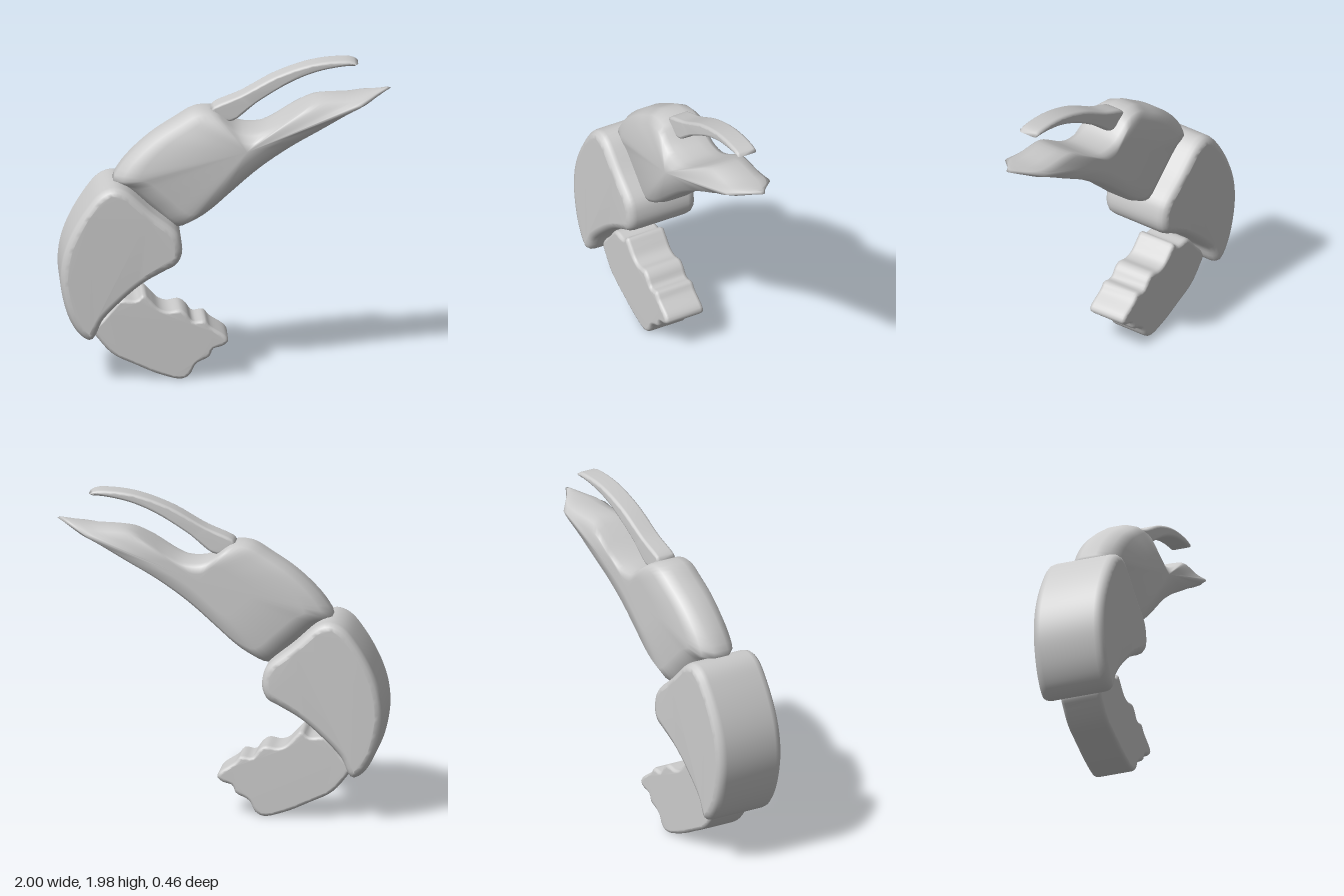
import * as THREE from 'three';
import { mergeVertices } from 'three/addons/utils/BufferGeometryUtils.js';

const material = new THREE.MeshStandardMaterial({ color: 0xcccccc });

// Smooth closed outline through a few points, counter-clockwise
function outline(points, count) {
  const curve = new THREE.CatmullRomCurve3(
    points.map(([x, y]) => new THREE.Vector3(x, y, 0)), true, 'centripetal');
  const pts = curve.getSpacedPoints(count).slice(0, -1).map(p => new THREE.Vector2(p.x, p.y));
  return THREE.ShapeUtils.isClockWise(pts) ? pts.reverse() : pts;
}

function smoothMesh(name, geometry) {
  geometry.deleteAttribute('normal');
  geometry.deleteAttribute('uv');
  const merged = mergeVertices(geometry, 1e-4);
  merged.computeVertexNormals();
  const mesh = new THREE.Mesh(merged, material);
  mesh.name = name;
  return mesh;
}

// Thick plate with rounded rims, centred on z = 0
function roundedSlab(name, points, halfDepth, bevel, count) {
  const depth = 2 * (halfDepth - bevel);
  const geometry = new THREE.ExtrudeGeometry(new THREE.Shape(outline(points, count)), {
    depth, steps: 1, bevelEnabled: true, bevelThickness: bevel,
    bevelSize: bevel * 0.8, bevelOffset: -bevel * 0.8, bevelSegments: 3,
  });
  geometry.translate(0, 0, -depth / 2);
  return smoothMesh(name, geometry);
}

// Outline shrunk ring by ring towards a ridge point: [scale, z] per ring
function ridgedShell(name, points, [cx, cy], rings, count) {
  const pts = outline(points, count), n = pts.length;
  const pos = [], index = [];
  for (const [s, z] of rings) {
    for (const p of pts) {
      const x = cx + (p.x - cx) * s, y = cy + (p.y - cy) * s;
      const taper = 1 - 0.85 * THREE.MathUtils.smoothstep(x, 0.8, 1);
      pos.push(x, y, z * taper);
    }
  }
  for (let r = 0; r < rings.length - 1; r++) {
    for (let i = 0; i < n; i++) {
      const a = r * n + i, b = r * n + (i + 1) % n, c = a + n, d = b + n;
      if (rings[r][0] > 0) index.push(a, c, b);
      if (rings[r + 1][0] > 0) index.push(b, c, d);
    }
  }
  const geometry = new THREE.BufferGeometry();
  geometry.setAttribute('position', new THREE.Float32BufferAttribute(pos, 3));
  geometry.setIndex(index);
  return smoothMesh(name, geometry);
}

export function createModel() {
  const group = new THREE.Group();
  group.name = 'pincerArm';

  // Broken-off lower segment with a ragged end
  group.add(roundedSlab('lowerSegment', [
    [-0.8, 0.32], [-0.72, 0.42], [-0.64, 0.51], [-0.54, 0.51], [-0.5, 0.545], [-0.46, 0.51],
    [-0.4, 0.45], [-0.35, 0.435], [-0.28, 0.445], [-0.24, 0.42], [-0.2, 0.37], [-0.13, 0.375],
    [-0.1, 0.34], [0, 0.27], [0.012, 0.24], [-0.02, 0.21], [-0.08, 0.19], [-0.1, 0.145],
    [-0.18, 0.1], [-0.22, 0.03], [-0.27, 0.005], [-0.4, 0.035], [-0.55, 0.1], [-0.68, 0.165],
    [-0.76, 0.25],
  ], 0.13, 0.025, 110));

  // Thick bent middle segment
  group.add(roundedSlab('middleSegment', [
    [-0.68, 1.245], [-0.61, 1.225], [-0.45, 1.085], [-0.3, 0.96], [-0.275, 0.9], [-0.27, 0.82],
    [-0.3, 0.755], [-0.37, 0.715], [-0.5, 0.64], [-0.63, 0.53], [-0.75, 0.4], [-0.79, 0.31],
    [-0.82, 0.28], [-0.88, 0.31], [-0.95, 0.42], [-1, 0.62], [-0.995, 0.78], [-0.95, 0.93],
    [-0.85, 1.11], [-0.76, 1.215],
  ], 0.23, 0.055, 90));

  // Palm with the fixed finger, ridged on its front
  group.add(ridgedShell('palmAndFixedFinger', [
    [-0.68, 1.24], [-0.65, 1.31], [-0.58, 1.4], [-0.45, 1.52], [-0.3, 1.62], [-0.2, 1.68],
    [-0.14, 1.69], [-0.07, 1.68], [0, 1.63], [0.08, 1.58], [0.22, 1.575], [0.33, 1.62],
    [0.46, 1.7], [0.56, 1.75], [0.8, 1.765], [0.92, 1.785], [1, 1.8], [0.93, 1.755], [0.8, 1.69], [0.6, 1.575],
    [0.4, 1.46], [0.2, 1.32], [0, 1.145], [-0.1, 1.055], [-0.2, 0.985], [-0.3, 0.95],
    [-0.45, 1.07], [-0.6, 1.2],
  ], [0.12, 1.46], [
    [0, 0.2], [0.4, 0.177], [0.8, 0.153], [0.93, 0.115], [1, 0.05],
    [1, -0.05], [0.93, -0.11], [0.8, -0.143], [0.4, -0.145], [0, -0.145],
  ], 100));

  // Slender curved movable finger
  group.add(roundedSlab('movableFinger', [
    [-0.09, 1.685], [0.1, 1.78], [0.3, 1.89], [0.5, 1.96], [0.65, 1.982], [0.77, 1.977],
    [0.8, 1.955], [0.7, 1.945], [0.55, 1.915], [0.4, 1.855], [0.2, 1.735], [0.03, 1.61],
    [-0.04, 1.63],
  ], 0.065, 0.02, 70));

  return group;
}
